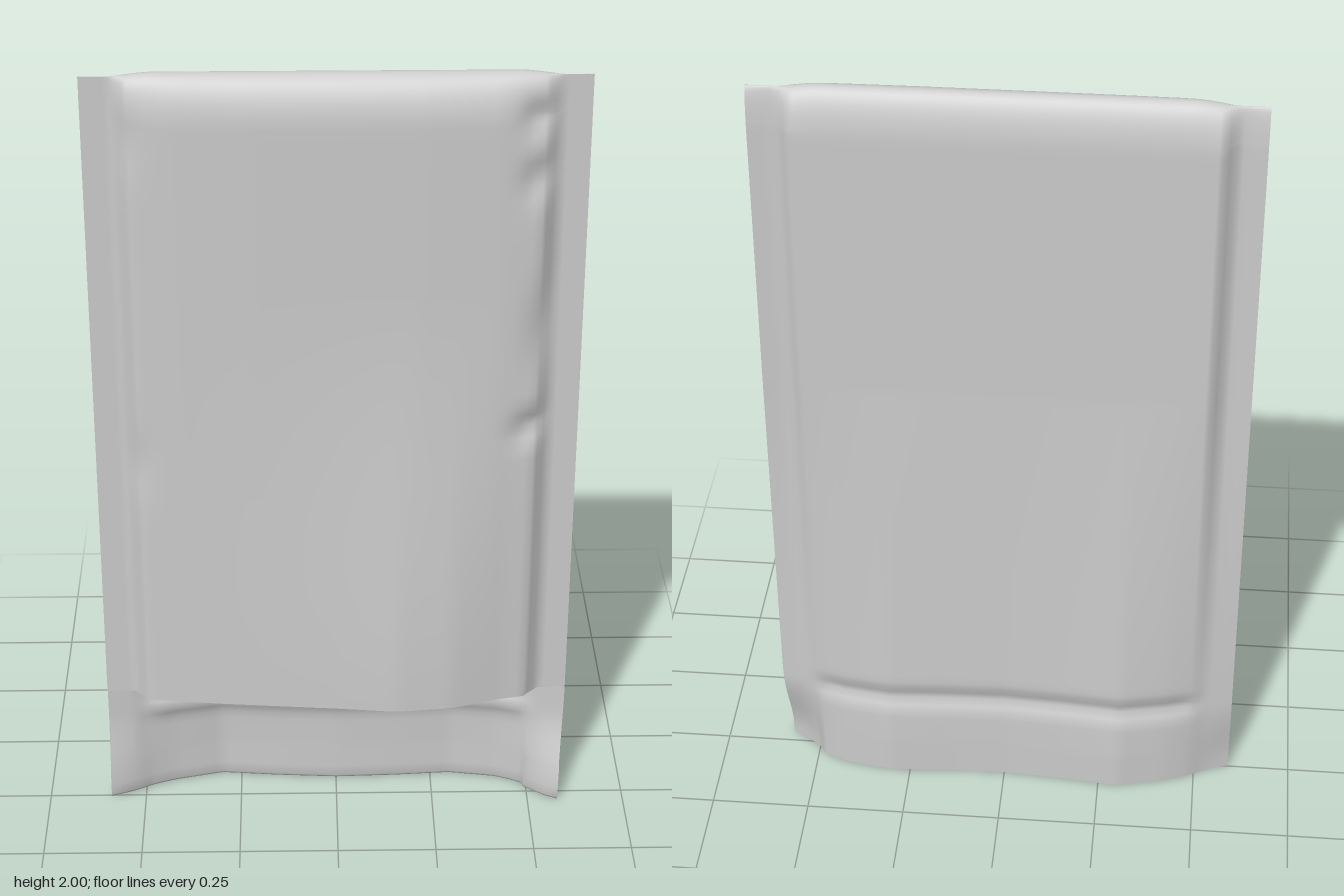
import * as THREE from 'three';

const { lerp, smoothstep, clamp } = THREE.MathUtils;

// Piecewise-linear lookup in a short list of [position, value] pairs
function table(points, x) {
  if (x <= points[0][0]) return points[0][1];
  for (let i = 1; i < points.length; i++) {
    const [x0, v0] = points[i - 1], [x1, v1] = points[i];
    if (x <= x1) return lerp(v0, v1, (x - x0) / (x1 - x0));
  }
  return points[points.length - 1][1];
}

// Cross-sections: depth of each sheet across the width
const FRONT_TOP = [[-0.48, 0.03], [-0.38, 0.042], [-0.2, 0.048], [0.2, 0.05], [0.38, 0.042], [0.48, 0.03]];
const FRONT_MOUTH = [[-0.5, 0.028], [-0.3, 0.052], [0, 0.08], [0.15, 0.097], [0.29, 0.083], [0.42, 0.042], [0.5, 0.025]];
const BACK_TOP = [[-0.59, -0.03], [-0.525, -0.022], [-0.49, -0.06], [0.49, -0.06], [0.525, -0.022], [0.59, -0.03]];
const BACK_END = [[-0.59, -0.02], [-0.52, -0.035], [-0.42, -0.07], [-0.3, -0.1], [-0.15, -0.085], [0, -0.075],
  [0.15, -0.08], [0.3, -0.09], [0.42, -0.07], [0.52, -0.03], [0.59, -0.01]];

// Small dents beside the side seam: x, y, width, height, depth
const DENTS = [
  [0.47, 1.9, 0.04, 0.05, 0.025], [0.47, 1.75, 0.035, 0.05, 0.02], [0.49, 1.35, 0.035, 0.12, 0.016],
  [0.47, 1.1, 0.04, 0.035, 0.024], [-0.49, 1.85, 0.03, 0.08, 0.01], [-0.49, 1.0, 0.03, 0.08, 0.01],
];

const MID = -0.012;      // depth of the fold line and the seams
const ROUND_START = 1.88;
const HALF_WIDTH = 0.59;
const MOUTH = 0.32;

// Closes both sheets together into the rounded fold at the top
function roundTop(z, y) {
  const k = clamp((y - ROUND_START) / (2 - ROUND_START), 0, 1);
  return MID + (z - MID) * Math.sqrt(1 - k * k);
}

function frontDepth(x, y) {
  let z = lerp(table(FRONT_TOP, x), table(FRONT_MOUTH, x), smoothstep(1.45 - y, 0, 1.13));
  for (const [dx, dy, w, h, d] of DENTS) z -= d * Math.exp(-(((x - dx) / w) ** 2) - ((y - dy) / h) ** 2);
  const pinch = clamp((Math.abs(x) - 0.48) / 0.04, 0, 1);
  return roundTop(lerp(z, MID, pinch), y);
}

function backDepth(x, y) {
  let z = lerp(table(BACK_TOP, x), table(BACK_END, x), clamp((1.2 - y) / 1.1, 0, 1));
  // Pressed crease just below the mouth
  z += 0.016 * Math.exp(-(((y - 0.245) / 0.025) ** 2)) * (1 - smoothstep(Math.abs(x), 0.44, 0.53));
  // Flap corners curling forward
  const curl = 1 - smoothstep(y, 0.02, 0.24);
  z += curl * smoothstep(Math.abs(x), 0.46, HALF_WIDTH) * (x > 0 ? 0.045 : 0.022);
  return roundTop(z, y);
}

// Grid of vertices, rows first; point(row, x) returns [x, y, z]
function sheet(name, rows, columns, point) {
  const positions = [], indices = [];
  rows.forEach((row) => columns.forEach((x) => positions.push(...point(row, x))));
  const n = columns.length;
  for (let i = 0; i < rows.length - 1; i++) {
    for (let j = 0; j < n - 1; j++) {
      const a = i * n + j;
      indices.push(a, a + 1, a + n + 1, a, a + n + 1, a + n);
    }
  }
  const geometry = new THREE.BufferGeometry();
  geometry.setAttribute('position', new THREE.Float32BufferAttribute(positions, 3));
  geometry.setIndex(indices);
  geometry.computeVertexNormals();
  const material = new THREE.MeshStandardMaterial({ color: 0xcccccc, side: THREE.DoubleSide });
  const mesh = new THREE.Mesh(geometry, material);
  mesh.name = name;
  return mesh;
}

export function createModel() {
  const group = new THREE.Group();
  group.name = 'mailingBag';

  // Columns are denser around the side seams
  const columns = [];
  for (let i = -22; i <= 22; i++) columns.push((i / 22) * 0.44);
  for (const x of [0.46, 0.48, 0.49, 0.505, 0.52, 0.535, 0.56, HALF_WIDTH]) {
    columns.push(x);
    columns.unshift(-x);
  }

  // One sheet: up the front, over the fold, down the back to the flap edge
  const rows = [];
  for (let i = 0; i < 52; i++) rows.push({ y: lerp(MOUTH, ROUND_START, i / 52), front: true });
  for (let i = 0; i <= 24; i++) {
    const angle = (i / 24) * Math.PI;
    rows.push({ y: ROUND_START + 0.12 * Math.sin(angle), front: i < 12 });
  }
  for (let i = 1; i <= 94; i++) rows.push({ y: ROUND_START * (1 - i / 94), front: false });

  group.add(sheet('bagSheet', rows, columns, ({ y, front }, x) => {
    const z = front ? frontDepth(x, y) : backDepth(x, y);
    // Seam ends sit slightly lower than the fold; the flap corner leans in
    const drop = y > 1.9 ? 0.01 * smoothstep(Math.abs(x), 0.42, 0.53) : 0;
    const lean = x > 0.5 ? 0.012 * (1 - smoothstep(y, 0, 0.3)) : 0;
    return [x - lean, y - drop, z];
  }));

  // Hem turned up along the front of the flap
  const hemRows = [0, 0.01, 0.04, 0.07, 0.1];
  group.add(sheet('flapHem', hemRows, columns, (y, x) => {
    const lean = x > 0.5 ? 0.012 * (1 - smoothstep(y, 0, 0.3)) : 0;
    return [x - lean, y, backDepth(x, y) + 0.008 * Math.min(1, y / 0.01)];
  }));

  return group;
}
